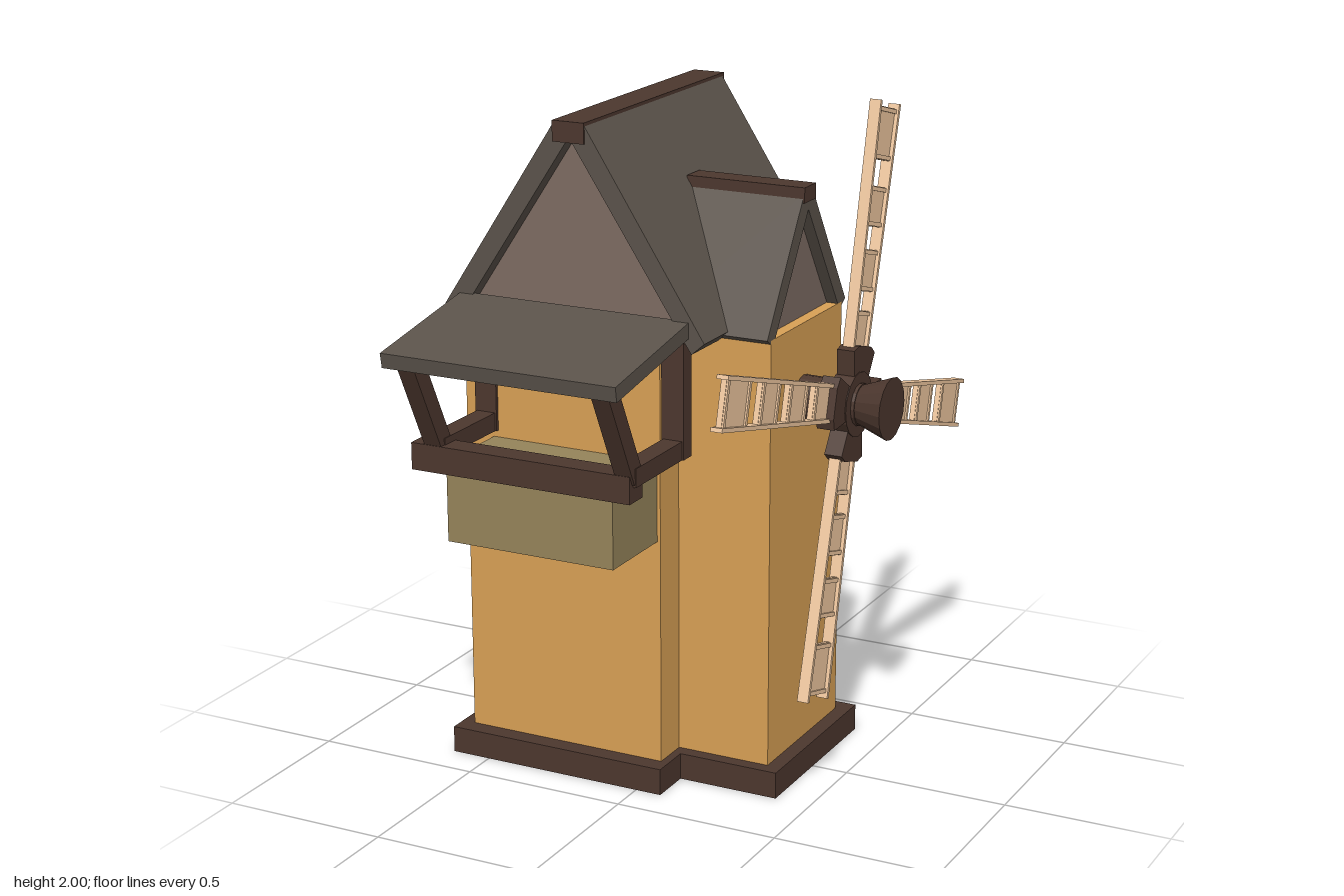
import * as THREE from 'three';

const mat = (color) => new THREE.MeshStandardMaterial({ color, flatShading: true });

export function createModel() {
  const model = new THREE.Group();
  const wall = mat(0xd8a055), wood = mat(0x4c372e), roof = mat(0x5b534b), gable = mat(0x7d6b62);
  const slate = mat(0x5f5d58), canvas = mat(0xf0c8a0), trough = mat(0x95835a);

  const add = (name, geometry, material, parent = model) => {
    const mesh = new THREE.Mesh(geometry, material);
    mesh.name = name;
    parent.add(mesh);
    return mesh;
  };
  // box given by its lower and upper limits on each axis
  const box = (name, material, [x0, x1], [y0, y1], [z0, z1], parent) => {
    const g = new THREE.BoxGeometry(x1 - x0, y1 - y0, z1 - z0);
    g.translate((x0 + x1) / 2, (y0 + y1) / 2, (z0 + z1) / 2);
    return add(name, g, material, parent);
  };
  const outline = (pts) => new THREE.Shape(pts.map(([x, y]) => new THREE.Vector2(x, y)));
  const rect = (x0, x1, y0, y1) => [[x0, y0], [x1, y0], [x1, y1], [x0, y1]];
  const extrude = (shape, from, to) => new THREE.ExtrudeGeometry(shape,
    { depth: to - from, bevelEnabled: false }).translate(0, 0, from);
  // square beam between two points
  const beam = (name, a, b, size) => {
    const p = new THREE.Vector3(...a), q = new THREE.Vector3(...b);
    const m = add(name, new THREE.BoxGeometry(size, size, p.distanceTo(q)), wood);
    m.position.copy(p).lerp(q, 0.5);
    m.lookAt(q);
    return m;
  };

  // foundation frame, open in the middle of each room
  const frame = outline([[-0.62, -0.47], [0.08, -0.47], [0.08, -0.31], [0.39, -0.31],
    [0.39, 0.26], [0.08, 0.26], [0.08, 0.39], [-0.62, 0.39]]);
  frame.holes.push(outline(rect(-0.54, 0, -0.39, 0.31)), outline(rect(0.08, 0.31, -0.23, 0.18)));
  add('foundationFrame', extrude(frame, 0, 0.08).rotateX(Math.PI / 2).translate(0, 0.08, 0), wood);

  // walls
  box('tower', wall, [-0.58, 0.055], [0.05, 1.37], [-0.42, 0.335]);
  box('annex', wall, [0.04, 0.345], [0.05, 1.365], [-0.26, 0.22]);
  box('door', slate, [-0.44, -0.12], [0.08, 0.585], [-0.465, -0.41]);

  // main roof
  const mainRoof = outline([[-0.625, 1.38], [-0.58, 1.345], [-0.2, 1.92], [0.18, 1.345],
    [0.22, 1.38], [-0.15, 1.955], [-0.25, 1.955]]);
  add('mainRoof', extrude(mainRoof, -0.47, 0.385), roof);
  add('mainGable', extrude(outline([[-0.575, 1.355], [0.175, 1.355], [-0.2, 1.922]]), -0.42, 0.335), gable);
  box('mainRidge', wood, [-0.25, -0.15], [1.905, 1.965], [-0.48, 0.39]);

  // dormer roof over the annex, running along x
  const dormerRoof = outline([[-0.265, 1.37], [-0.225, 1.345], [0, 1.69], [0.225, 1.345],
    [0.265, 1.37], [0.03, 1.74], [-0.03, 1.74]]);
  const turn = (g) => g.rotateY(Math.PI / 2).translate(0, 0, -0.02);
  add('dormerRoof', turn(extrude(dormerRoof, -0.02, 0.345)), roof);
  add('dormerGable', turn(extrude(outline([[-0.22, 1.355], [0.22, 1.355], [0, 1.695]]), 0, 0.31)), gable);
  box('dormerRidge', wood, [-0.02, 0.35], [1.715, 1.76], [-0.058, 0.018]);

  // balcony with sloping awning
  box('balconyBox', trough, [-0.49, 0.045], [0.76, 1.0], [0.32, 0.6]);
  box('balconyFrontBeam', wood, [-0.58, 0.12], [0.975, 1.055], [0.565, 0.64]);
  for (const x of [-0.51, 0.1]) {
    box('balconySideBeam', wood, [x - 0.03, x + 0.03], [1.02, 1.075], [0.3, 0.62]);
    box('balconyWallPost', wood, [x - 0.035, x + 0.035], [1.02, 1.37], [0.295, 0.345]);
    beam('balconySlantedPost', [x, 1.04, 0.6], [x, 1.35, 0.755], 0.055);
  }
  const awning = add('awning', new THREE.BoxGeometry(0.735, 0.045, 0.44), roof);
  awning.position.set(-0.197, 1.377, 0.588);
  awning.rotation.x = 0.17;

  // windmill wheel turning about x
  const wheel = new THREE.Group();
  wheel.name = 'windWheel';
  wheel.position.set(0, 1.145, 0);
  model.add(wheel);
  const disc = (name, x0, x1, r0, r1, sides) => add(name,
    new THREE.CylinderGeometry(r1, r0, x1 - x0, sides).rotateZ(-Math.PI / 2)
      .translate((x0 + x1) / 2, 0, 0), wood, wheel);
  disc('axle', 0.33, 0.53, 0.065, 0.062, 16);
  disc('hub', 0.46, 0.52, 0.095, 0.095, 16);
  disc('hubCap', 0.52, 0.62, 0.055, 0.092, 16);

  const bracket = outline([[-0.045, 0.06], [0.045, 0.06], [0.075, 0.15], [0.045, 0.165],
    [-0.045, 0.165], [-0.075, 0.15]]);
  const edge = (r) => 0.045 + 0.028 * r; // half width of a sail at radius r
  const panels = [[0.12, 0.265], [0.32, 0.44], [0.505, 0.62], [0.695, 0.845]];
  for (let i = 0; i < 4; i++) {
    const sail = new THREE.Group();
    sail.name = 'sail';
    sail.rotation.x = -THREE.MathUtils.degToRad(15 + 90 * i);
    wheel.add(sail);
    const flat = (name, shape, x0, x1, m) =>
      add(name, extrude(shape, x0, x1).rotateY(Math.PI / 2), m, sail);
    flat('sailBracket', bracket, 0.463, 0.517, wood);
    for (const [a, b] of panels) {
      flat('sailPanel', outline([[-edge(a), a], [edge(a), a], [edge(b), b], [-edge(b), b]]), 0.482, 0.494, canvas);
      for (const r of [a + 0.008, b - 0.008])
        flat('sailCrossbar', outline(rect(-edge(r), edge(r), r - 0.006, r + 0.006)), 0.477, 0.499, canvas);
    }
    for (const s of [-1, 1]) {
      const w = 0.006, a = 0.1, b = 0.86;
      flat('sailRail', outline([[s * edge(a) - w, a], [s * edge(a) + w, a],
        [s * edge(b) + w, b], [s * edge(b) - w, b]]), 0.471, 0.505, canvas);
    }
  }
  return model;
}
